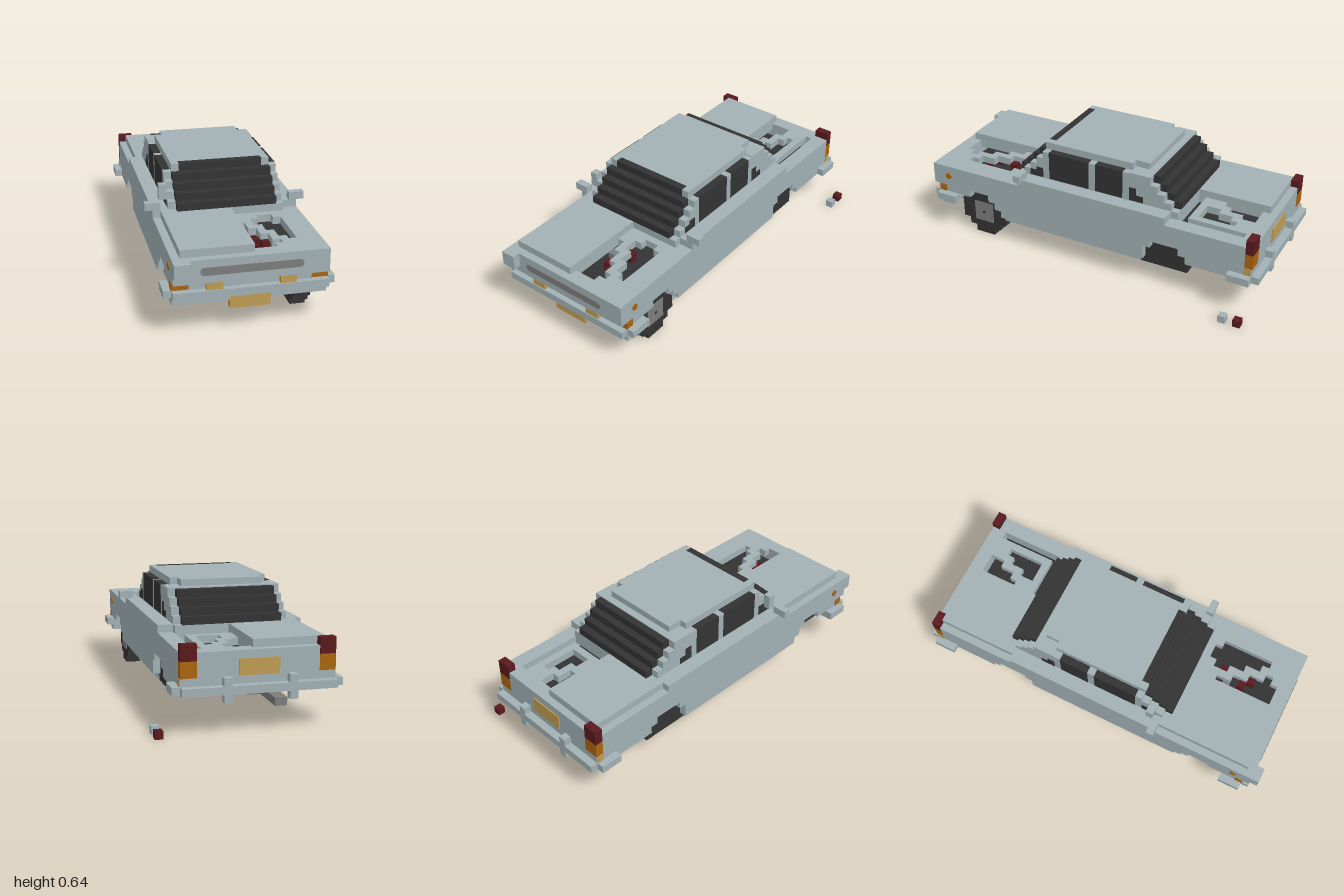
import * as THREE from 'three';

const mat = (name, color) => {
  const m = new THREE.MeshStandardMaterial({ color });
  m.name = name;
  return m;
};

export function createModel() {
  const car = new THREE.Group();
  car.name = 'blockCar';
  const paint = mat('paleBluePaint', 0xa2b1b5), dark = mat('charcoal', 0x333333), gray = mat('metalGray', 0x7d7d7d);
  const amber = mat('amber', 0xaa650f), cream = mat('lampYellow', 0xc09c53), red = mat('darkRed', 0x5a1a1e);

  const add = (name, geo, m, parent = car) => {
    const mesh = new THREE.Mesh(geo, m);
    mesh.name = name;
    parent.add(mesh);
    return mesh;
  };
  // Box given by its limits on each axis
  const box = (name, m, x0, x1, y0, y1, z0, z1) => {
    const g = new THREE.BoxGeometry(x1 - x0, y1 - y0, z1 - z0);
    g.translate((x0 + x1) / 2, (y0 + y1) / 2, (z0 + z1) / 2);
    return add(name, g, m);
  };
  // Same box on both sides of the body's centre plane, x = -0.04
  const pair = (name, m, x0, x1, ...r) => {
    box(name + 'Left', m, x0, x1, ...r);
    box(name + 'Right', m, -0.08 - x1, -0.08 - x0, ...r);
  };
  const poly = (pts) => pts.map(([a, b]) => new THREE.Vector2(a, b));

  // Side panels with stepped wheel arches, profile in (z, y)
  const side = new THREE.Shape(poly([
    [0.96, 0.4], [0.96, 0.28], [0.92, 0.28], [0.92, 0.2], [0.8, 0.2], [0.8, 0.24], [0.76, 0.24], [0.76, 0.24],
    [0.72, 0.24], [0.72, 0.28], [0.6, 0.28], [0.6, 0.24], [0.56, 0.24], [0.56, 0.2], [0.52, 0.2], [0.52, 0.16],
    [-0.36, 0.16], [-0.36, 0.24], [-0.4, 0.24], [-0.4, 0.28], [-0.56, 0.28], [-0.56, 0.24], [-0.6, 0.24],
    [-0.6, 0.2], [-0.84, 0.2], [-0.84, 0.24], [-0.92, 0.24], [-0.92, 0.4]]));
  for (const [name, x] of [['sidePanelLeft', 0.26], ['sidePanelRight', -0.42]]) {
    const g = new THREE.ExtrudeGeometry(side, { depth: 0.08, bevelEnabled: false });
    g.rotateY(-Math.PI / 2).scale(1, 1, 1);
    g.translate(0.08 + x, 0, 0);
    add(name, g, paint);
  }
  pair('sill', paint, 0.26, 0.3, 0.12, 0.16, -0.32, 0.52);

  // Underbody and dark inner bulk
  box('floor', dark, -0.34, 0.26, 0.16, 0.2, -0.84, 0.84);
  box('floorPan', dark, -0.34, 0.26, 0.12, 0.16, -0.6, 0.48);
  box('innerBody', dark, -0.34, 0.26, 0.2, 0.32, -0.9, 0.88);
  pair('rearWheelWell', dark, 0.2, 0.3, 0.12, 0.28, -0.6, -0.33);
  pair('frontWheelWell', dark, 0.2, 0.26, 0.16, 0.28, 0.52, 0.84);

  // Front and rear fascias
  box('frontFascia', paint, -0.34, 0.26, 0.28, 0.4, 0.88, 0.96);
  box('lampShelf', paint, -0.34, 0.26, 0.24, 0.28, 0.86, 0.93);
  box('cornerBlock', paint, -0.42, -0.34, 0.32, 0.4, 0.96, 1.0);
  box('rearFascia', paint, -0.34, 0.26, 0.24, 0.4, -0.96, -0.88);
  pair('rearCorner', paint, 0.26, 0.34, 0.24, 0.28, -0.96, -0.92);

  // Decks: lower half with openings, raised half panel
  const deck = (name, z0, z1, holes) => {
    const s = new THREE.Shape(poly([[-0.34, z0], [0.26, z0], [0.26, z1], [-0.34, z1]]));
    s.holes = holes.map((h) => new THREE.Path(poly(h)));
    const g = new THREE.ExtrudeGeometry(s, { depth: 0.04, bevelEnabled: false });
    g.rotateX(Math.PI / 2).translate(0, 0.4, 0);
    add(name, g, paint);
  };
  deck('hoodDeck', 0.36, 0.9, [
    [[-0.02, 0.56], [0.02, 0.56], [0.02, 0.64], [0.06, 0.64], [0.06, 0.72], [0.1, 0.72], [0.1, 0.8], [0.14, 0.8],
      [0.14, 0.84], [0.1, 0.84], [0.1, 0.88], [-0.02, 0.88]],
    [[0.1, 0.48], [0.18, 0.48], [0.18, 0.52], [0.22, 0.52], [0.22, 0.8], [0.18, 0.8], [0.18, 0.76], [0.14, 0.76],
      [0.14, 0.68], [0.1, 0.68], [0.1, 0.6], [0.06, 0.6], [0.06, 0.52], [0.1, 0.52]]]);
  deck('trunkDeck', -0.925, -0.48, [
    [[-0.02, -0.88], [0.1, -0.88], [0.1, -0.8], [0.06, -0.8], [0.06, -0.72], [0.02, -0.72], [0.02, -0.68], [-0.02, -0.68]],
    [[0.14, -0.8], [0.18, -0.8], [0.18, -0.6], [0.06, -0.6], [0.06, -0.68], [0.1, -0.68], [0.1, -0.76], [0.14, -0.76]],
    [[-0.02, -0.56], [0.22, -0.56], [0.22, -0.92], [0.258, -0.92], [0.258, -0.52], [-0.02, -0.52]]]);
  box('hoodPanel', paint, -0.38, -0.02, 0.4, 0.44, 0.4, 0.92);
  box('trunkPanel', paint, -0.38, -0.02, 0.4, 0.44, -0.92, -0.48);
  for (const [x, z] of [[0.08, 0.58], [0.04, 0.7], [0.08, 0.74]])
    box('enginePart', red, x - 0.02, x + 0.02, 0.32, 0.37, z - 0.02, z + 0.02);
  box('engineCap', gray, -0.02, 0.02, 0.32, 0.36, 0.6, 0.64);

  // Cabin: belt, stepped glass and pillars, roof
  box('belt', paint, -0.42, 0.34, 0.4, 0.44, -0.48, 0.4);
  box('cowl', paint, -0.34, 0.26, 0.4, 0.44, -0.52, 0.44);
  for (let i = 0; i < 4; i++) {
    const y = 0.44 + 0.04 * i, f = 0.44 - 0.04 * i, r = -0.52 + 0.04 * i;
    box('glassStep', dark, -0.3, 0.22, y, y + 0.04, r, f);
    pair('pillarStep', paint, 0.22, 0.26, y, y + 0.04, r + 0.04, f - 0.04);
  }
  box('roof', paint, -0.3, 0.22, 0.6, 0.64, -0.24, 0.24);
  box('roofRear', paint, -0.26, 0.18, 0.6, 0.64, -0.32, -0.24);
  box('roofRearLip', paint, -0.34, 0.26, 0.595, 0.605, -0.36, -0.24);
  pair('roofFrontCorner', paint, 0.18, 0.22, 0.6, 0.64, 0.24, 0.28);
  box('windscreenTop', dark, -0.26, 0.18, 0.6, 0.64, 0.24, 0.28);
  // Side windows, including the small stepped quarter lights
  for (const [y1, z0, z1] of [[0.602, 0, 0.24], [0.602, -0.2, -0.04], [0.5, 0.28, 0.32], [0.48, 0.32, 0.36],
    [0.52, -0.28, -0.24], [0.48, -0.32, -0.28]])
    pair('sideWindow', dark, 0.221, 0.263, 0.445, y1, z0, z1);
  pair('mirror', paint, 0.3, 0.38, 0.44, 0.48, 0.36, 0.4);
  box('mirrorTop', paint, -0.38, -0.34, 0.48, 0.56, 0.32, 0.36);

  // Bumpers
  box('frontBumper', paint, -0.42, 0.34, 0.2, 0.24, 0.84, 0.96);
  box('frontValance', paint, -0.42, 0.34, 0.16, 0.2, 0.84, 0.92);
  pair('frontBumperEnd', paint, 0.34, 0.38, 0.2, 0.24, 0.8, 0.92);
  box('rearBumper', paint, -0.42, 0.34, 0.2, 0.24, -1.0, -0.84);
  pair('rearBumperEnd', paint, 0.34, 0.38, 0.2, 0.24, -0.96, -0.84);
  pair('rearBumperGuard', paint, 0.1, 0.14, 0.16, 0.28, -1.0, -0.96);

  // Lamps, grille and plates
  pair('frontIndicator', amber, 0.26, 0.343, 0.24, 0.28, 0.88, 0.925);
  pair('headLamp', cream, 0.1, 0.18, 0.24, 0.28, 0.92, 0.955);
  pair('tailLamp', red, 0.26, 0.34, 0.36, 0.44, -0.963, -0.92);
  pair('rearIndicator', amber, 0.26, 0.34, 0.28, 0.36, -0.963, -0.92);
  pair('reverseLamp', cream, 0.3, 0.343, 0.24, 0.28, -0.955, -0.92);
  box('frontPlate', cream, -0.14, 0.06, 0.12, 0.2, 0.88, 0.925);
  box('rearPlate', cream, -0.14, 0.06, 0.28, 0.36, -0.966, -0.958);
  const grille = new THREE.Shape();
  grille.absarc(0.19, 0.34, 0.02, -Math.PI / 2, Math.PI / 2);
  grille.absarc(-0.27, 0.34, 0.02, Math.PI / 2, Math.PI * 1.5);
  add('grille', new THREE.ExtrudeGeometry(grille, { depth: 0.006, bevelEnabled: false }), gray).position.z = 0.958;
  for (const [y, z] of [[0.34, 0.86], [0.26, 0.9]])
    for (const x of [0.341, -0.421]) {
      const dot = add('sideMarker', new THREE.CylinderGeometry(0.018, 0.018, 0.008, 12), amber);
      dot.rotation.z = Math.PI / 2;
      dot.position.set(x, y, z);
    }

  // Front wheel with hub
  for (const [h, w] of [[0.14, 0.06], [0.1, 0.1], [0.06, 0.14]])
    box('frontWheel', dark, 0.22, 0.3, 0.14 - h, 0.14 + h, 0.66 - w, 0.66 + w);
  box('frontHub', gray, 0.295, 0.304, 0.08, 0.2, 0.6, 0.72);
  box('hubCentre', dark, 0.3, 0.307, 0.133, 0.147, 0.653, 0.667);

  // Exhaust pipe in stepped lengths
  for (const [x, y, z0, z1] of [[-0.18, 0.08, 0.32, 0.52], [-0.16, 0.08, 0.08, 0.32], [-0.18, 0.08, -0.6, 0.08], [-0.18, 0.12, -0.96, -0.6]])
    box('exhaust', gray, x, x + 0.06, y, y + 0.04, z0, z1);
  box('exhaustBox', gray, -0.18, -0.1, 0.08, 0.12, -0.6, -0.2);

  // Loose blocks beside the tail
  box('looseRedBlock', red, 0.42, 0.46, 0, 0.04, -0.96, -0.92);
  box('loosePaleBlock', paint, 0.42, 0.46, 0, 0.04, -0.88, -0.84);
  return car;
}
